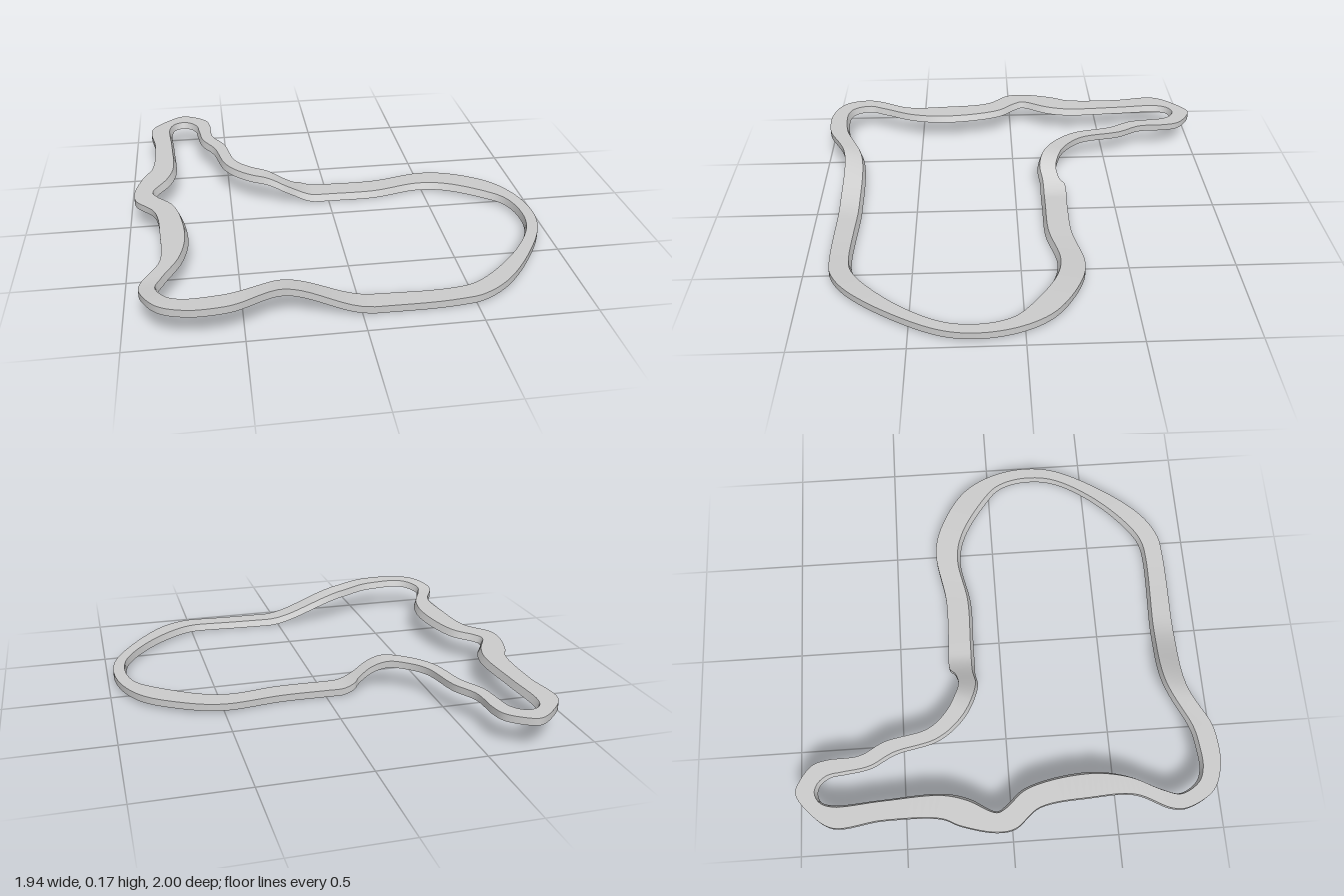
import * as THREE from 'three';

// Plan outlines as x, z pairs; matching entries face each other across the band
const OUTER = [
  -0.9, -0.83, -0.82, -0.94, -0.73, -1, -0.67, -0.98, -0.6, -0.92, -0.58, -0.85, -0.57, -0.7,
  -0.51, -0.58, -0.46, -0.37, -0.38, -0.28, -0.3, -0.235, -0.23, -0.215, -0.17, -0.23, -0.14, -0.255,
  0, -0.255, 0.24, -0.255, 0.5, -0.295, 0.64, -0.265, 0.84, -0.14, 0.93, 0, 0.97, 0.18,
  0.95, 0.35, 0.83, 0.58, 0.66, 0.79, 0.53, 0.87, 0.42, 0.885, 0, 0.885, -0.33, 0.885,
  -0.53, 0.975, -0.6, 0.99, -0.73, 0.99, -0.85, 0.94, -0.92, 0.81, -0.915, 0.74, -0.84, 0.58,
  -0.84, 0.37, -0.87, 0.13, -0.96, 0.01, -0.97, -0.08, -0.93, -0.24, -0.89, -0.33, -0.88, -0.6,
];
const INNER = [
  -0.79, -0.83, -0.77, -0.885, -0.73, -0.9, -0.69, -0.885, -0.66, -0.84, -0.65, -0.77, -0.63, -0.65,
  -0.57, -0.53, -0.52, -0.33, -0.44, -0.22, -0.34, -0.15, -0.24, -0.12, -0.17, -0.13, -0.13, -0.13,
  0, -0.13, 0.23, -0.13, 0.46, -0.17, 0.6, -0.14, 0.8, -0.01, 0.87, 0.06, 0.905, 0.18,
  0.89, 0.34, 0.78, 0.53, 0.6, 0.71, 0.5, 0.77, 0.4, 0.785, 0, 0.775, -0.3, 0.78,
  -0.54, 0.875, -0.62, 0.89, -0.74, 0.895, -0.8, 0.87, -0.845, 0.79, -0.82, 0.71, -0.745, 0.55,
  -0.715, 0.36, -0.77, 0.07, -0.85, -0.03, -0.87, -0.07, -0.8, -0.2, -0.77, -0.32, -0.78, -0.6,
];
const STEPS = 336;
const THICKNESS = 0.034;

function outline(flat) {
  const points = [];
  for (let i = 0; i < flat.length; i += 2) points.push(new THREE.Vector3(flat[i], 0, flat[i + 1]));
  return new THREE.CatmullRomCurve3(points, true, 'centripetal').getPoints(STEPS).slice(0, STEPS);
}

// Height of the upper face: raised at -x, ramping down to a low level at +x
function topHeight({ x, z }) {
  const { smoothstep, lerp } = THREE.MathUtils;
  const high = 0.15 + 0.02 * smoothstep(z, 0.7, 0.95);
  const low = 0.035 + 0.015 * smoothstep(x, 0.25, 0.75);
  const ramp = z < 0.3 ? smoothstep(x, -0.34, -0.06) : smoothstep(x, -0.38, 0.06);
  return lerp(high, low, ramp);
}

// One closed face strip between two rings, with its own vertices for crisp edges
function addStrip(a, b, positions, indices) {
  const base = positions.length / 3;
  for (let i = 0; i < STEPS; i++) positions.push(...a[i].toArray(), ...b[i].toArray());
  for (let i = 0; i < STEPS; i++) {
    const p = base + 2 * i;
    const q = base + 2 * ((i + 1) % STEPS);
    indices.push(p, p + 1, q, q, p + 1, q + 1);
  }
}

export function createModel() {
  const outer = outline(OUTER);
  const inner = outline(INNER);
  const ring = (inset, drop) => outer.map((o, i) => {
    const v = o.clone().lerp(inner[i], inset);
    v.y = Math.max(0, topHeight(v) - drop);
    return v;
  });

  // Cross-section from outer top, across to the sloped inner wall, and back underneath
  const rings = [ring(0, 0), ring(0.88, 0), ring(1, THICKNESS), ring(0, THICKNESS)];
  const positions = [];
  const indices = [];
  rings.forEach((r, k) => addStrip(r, rings[(k + 1) % rings.length], positions, indices));

  const geometry = new THREE.BufferGeometry();
  geometry.setAttribute('position', new THREE.Float32BufferAttribute(positions, 3));
  geometry.setIndex(indices);
  geometry.computeVertexNormals();

  const band = new THREE.Mesh(geometry, new THREE.MeshStandardMaterial({ color: 0xcccccc }));
  band.name = 'trackBand';
  const group = new THREE.Group();
  group.name = 'trackLoop';
  group.add(band);
  return group;
}
